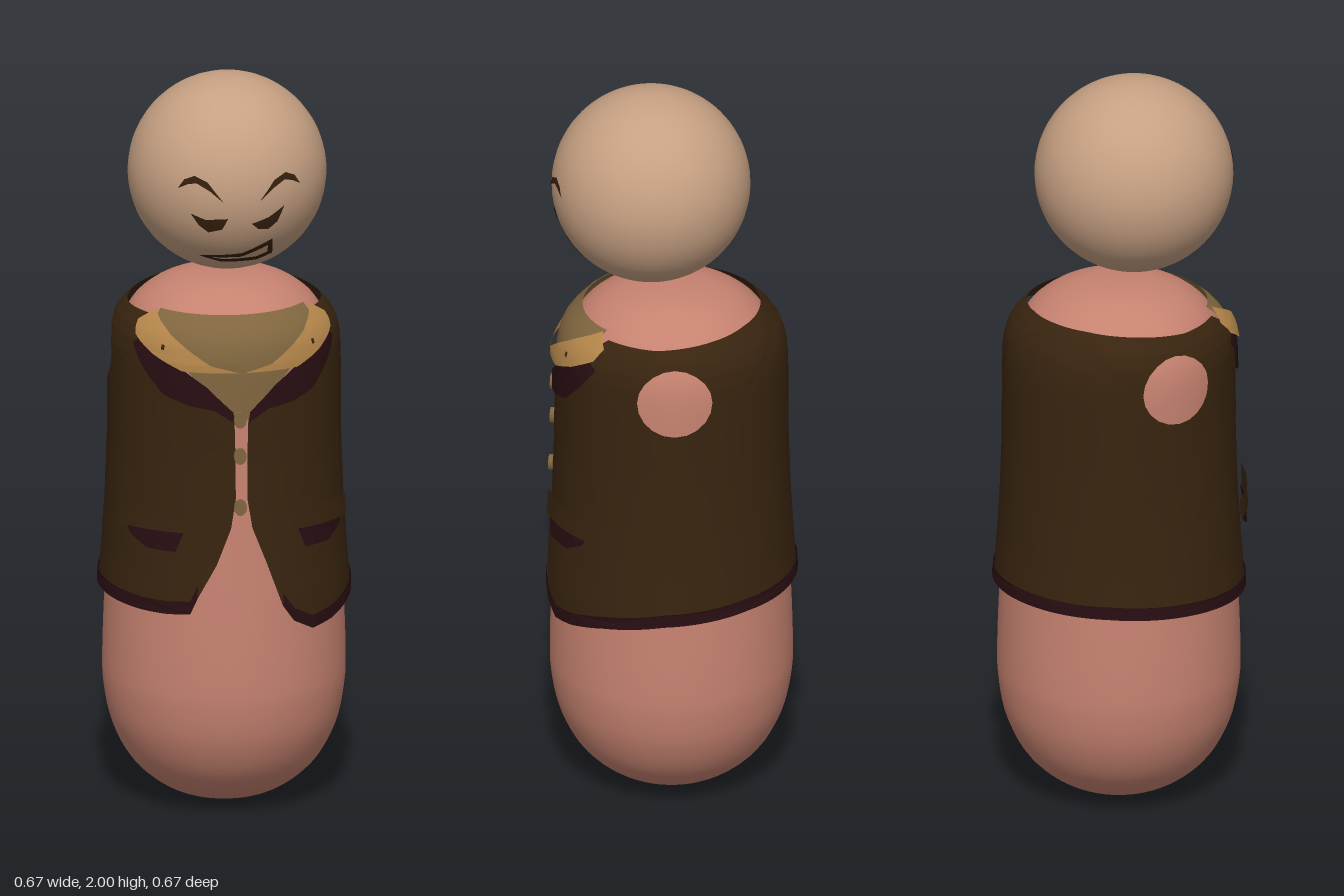
import * as THREE from 'three';
import { mergeVertices } from 'three/addons/utils/BufferGeometryUtils.js';

const mat = (name, color) => {
  const m = new THREE.MeshStandardMaterial({ color, side: THREE.DoubleSide });
  m.name = name;
  return m;
};

// Body radius and vest radius by height, as [radius, y]
const BODY = [[0, 0], [0.08, 0.007], [0.15, 0.03], [0.215, 0.075], [0.265, 0.135], [0.303, 0.22], [0.32, 0.31],
  [0.323, 0.38], [0.32, 0.5], [0.313, 0.65], [0.3, 0.9], [0.296, 1.1], [0.294, 1.22], [0.282, 1.29],
  [0.255, 1.345], [0.222, 1.385], [0.165, 1.422], [0.09, 1.444], [0, 1.45]];
const VEST = [[0.335, 0.5], [0.333, 0.6], [0.324, 0.72], [0.316, 0.85], [0.311, 1.0], [0.31, 1.2], [0.308, 1.27],
  [0.3, 1.31], [0.286, 1.34], [0.264, 1.365], [0.236, 1.388], [0.2, 1.41]];

function vestRadius(y) {
  for (let i = 1; i < VEST.length; i++) {
    const [r0, y0] = VEST[i - 1], [r1, y1] = VEST[i];
    if (y <= y1) return r0 + (r1 - r0) * Math.max(0, (y - y0) / (y1 - y0));
  }
  return 0.2;
}

// Surfaces: (angle, y) around the torso, and (x, y) on the front of the head
const HEAD = new THREE.Vector3(0, 1.737, 0.055), HEAD_R = 0.264;
const onTorso = (off) => (a, y) => {
  const r = vestRadius(y) + off;
  return [r * Math.sin(a), y, r * Math.cos(a)];
};
const onHead = (x, y) => {
  const dy = y - HEAD.y, r = HEAD_R + 0.003;
  return [x, y, HEAD.z + Math.sqrt(r * r - x * x - dy * dy)];
};

// Fills a flat outline, subdivides it and wraps it onto a surface
function patch(outline, surface, level, holes = []) {
  const vec = (pts) => pts.map(([x, y]) => new THREE.Vector2(x, y));
  const shape = new THREE.Shape(vec(outline));
  holes.forEach((h) => shape.holes.push(new THREE.Path(vec(h))));
  const flat = new THREE.ShapeGeometry(shape).toNonIndexed().attributes.position;
  const out = [];
  const mid = (a, b) => [(a[0] + b[0]) / 2, (a[1] + b[1]) / 2];
  const split = (a, b, c, n) => {
    if (n === 0) { out.push(...surface(...a), ...surface(...b), ...surface(...c)); return; }
    const ab = mid(a, b), bc = mid(b, c), ca = mid(c, a);
    split(a, ab, ca, n - 1);
    split(ab, b, bc, n - 1);
    split(ca, bc, c, n - 1);
    split(ab, bc, ca, n - 1);
  };
  for (let i = 0; i < flat.count; i += 3) {
    const p = (k) => [flat.getX(i + k), flat.getY(i + k)];
    split(p(0), p(1), p(2), level);
  }
  let geo = new THREE.BufferGeometry();
  geo.setAttribute('position', new THREE.Float32BufferAttribute(out, 3));
  geo = mergeVertices(geo, 1e-5);
  geo.computeVertexNormals();
  return geo;
}

export function createModel() {
  const model = new THREE.Group();
  const face = mat('face skin', 0xc6a082);
  const skin = mat('body skin', 0xc68270);
  const brown = mat('vest brown', 0x38240f);
  const maroon = mat('dark maroon trim', 0x280e12);
  const tan = mat('collar tan', 0xb4864a);
  const shirtTan = mat('shirt tan', 0x80663f);
  const ink = mat('face marking brown', 0x35200d);

  const add = (name, geo, material) => {
    const m = new THREE.Mesh(geo, material);
    m.name = name;
    model.add(m);
    return m;
  };
  const flip = (pts, s) => pts.map(([x, y]) => [x * s, y]);

  // Head and body
  add('head', new THREE.SphereGeometry(HEAD_R, 48, 32), face).position.copy(HEAD);
  const curve = new THREE.SplineCurve(BODY.map(([r, y]) => new THREE.Vector2(r, y)));
  const profile = curve.getPoints(60).map((p) => new THREE.Vector2(Math.max(0, p.x), p.y));
  add('body', new THREE.LatheGeometry(profile, 48), skin);

  // Lower edges of the vest halves; the left one dips at the front
  const hems = {
    1: [[0.34, 0.6], [0.44, 0.555], [0.62, 0.525], [0.85, 0.535], [1.2, 0.562], [1.7, 0.59], [2.4, 0.607], [Math.PI, 0.61]],
    '-1': [[0.36, 0.63], [0.42, 0.585], [0.62, 0.58], [0.85, 0.58], [1.2, 0.585], [1.7, 0.595], [2.4, 0.607], [Math.PI, 0.61]],
  };
  const opening = [[0.06, 1.12], [0.05, 1.0], [0.05, 0.9], [0.09, 0.82], [0.21, 0.72]];
  const neckline = [[Math.PI, 1.388], [2.7, 1.387], [2.2, 1.38], [1.6, 1.37], [1.05, 1.372], [0.85, 1.33], [0.5, 1.24], [0.25, 1.17]];
  const armhole = Array.from({ length: 20 }, (_, i) => {
    const t = (i / 20) * Math.PI * 2;
    return [1.79 + 0.33 * Math.cos(t), 1.235 + 0.094 * Math.sin(t)];
  });

  for (const s of [1, -1]) {
    const side = s > 0 ? 'left' : 'right';
    const hem = hems[s];
    const wrap = (name, pts, off, material, level = 3, holes = []) =>
      add(`${side} ${name}`, patch(flip(pts, s), onTorso(off), level, holes.map((h) => flip(h, s))), material);

    // Vest half with armhole, and trim along its lower edge
    wrap('vest', [...opening, ...hem, ...neckline], 0, brown, 4, [armhole]);
    wrap('hem trim', [...hem, ...hem.map(([a, y]) => [a, y + 0.035]).reverse()], 0.004, maroon);

    // Lapel and collar
    wrap('lapel', [[0.06, 1.11], [0.23, 1.145], [0.45, 1.155], [0.68, 1.178], [0.88, 1.235], [1.05, 1.3], [0.95, 1.32],
      [0.55, 1.262], [0.3, 1.21], [0.07, 1.14]], 0.007, maroon);
    wrap('collar', [[0.02, 1.25], [0.5, 1.25], [0.78, 1.285], [1.02, 1.325], [1.08, 1.358], [0.95, 1.388],
      [0.72, 1.355], [0.52, 1.32], [0.26, 1.27]], 0.014, tan);
    wrap('collar dot', [[0.67, 1.302], [0.7, 1.302], [0.7, 1.315], [0.67, 1.315]], 0.018, ink, 1);

    // Pocket welt and flap
    wrap('pocket welt', [[0.45, 0.81], [1.08, 0.805], [1.1, 0.858], [0.46, 0.88]], 0.024, brown);
    wrap('pocket flap', [[0.46, 0.82], [1.05, 0.82], [0.98, 0.785], [0.8, 0.755], [0.54, 0.755]], 0.018, maroon);

    // Eyebrow
    add(`${side} eyebrow`, patch(flip([[0.164, 1.752], [0.148, 1.778], [0.122, 1.79], [0.09, 1.775], [0.048, 1.72],
      [0.085, 1.752], [0.118, 1.771], [0.14, 1.766]], s), onHead, 2), ink);
  }

  // Shirt front showing in the neckline
  const shirt = [[0.2, 1.16], [0.45, 1.24], [0.85, 1.33], [0.95, 1.386], [0.5, 1.386]];
  add('shirt front', patch([[0, 1.1], ...shirt, [0, 1.386], ...flip(shirt, -1).reverse()], onTorso(-0.003), 3), shirtTan);

  // Buttons
  for (const y of [1.12, 1.02, 0.88]) {
    const button = add('button', new THREE.CylinderGeometry(0.017, 0.017, 0.012, 12), shirtTan);
    button.rotation.x = Math.PI / 2;
    button.scale.z = 1.3;
    button.position.set(-0.005, y, vestRadius(y) + 0.01);
  }

  // Half-closed eyes
  add('right eye', patch([[-0.132, 1.685], [-0.095, 1.67], [-0.036, 1.674], [-0.05, 1.642], [-0.085, 1.632], [-0.11, 1.652]], onHead, 2), ink);
  add('left eye', patch([[0.028, 1.657], [0.074, 1.672], [0.118, 1.7], [0.1, 1.656], [0.075, 1.636], [0.047, 1.64]], onHead, 2), ink);

  // Crooked grin drawn as an outline
  add('mouth', patch([[-0.102, 1.551], [0.01, 1.562], [0.09, 1.603], [0.096, 1.55], [0.055, 1.532], [-0.04, 1.53]], onHead, 2,
    [[[-0.07, 1.547], [0.01, 1.549], [0.079, 1.582], [0.081, 1.558], [0.05, 1.545], [-0.04, 1.541]]]), ink);

  return model;
}
